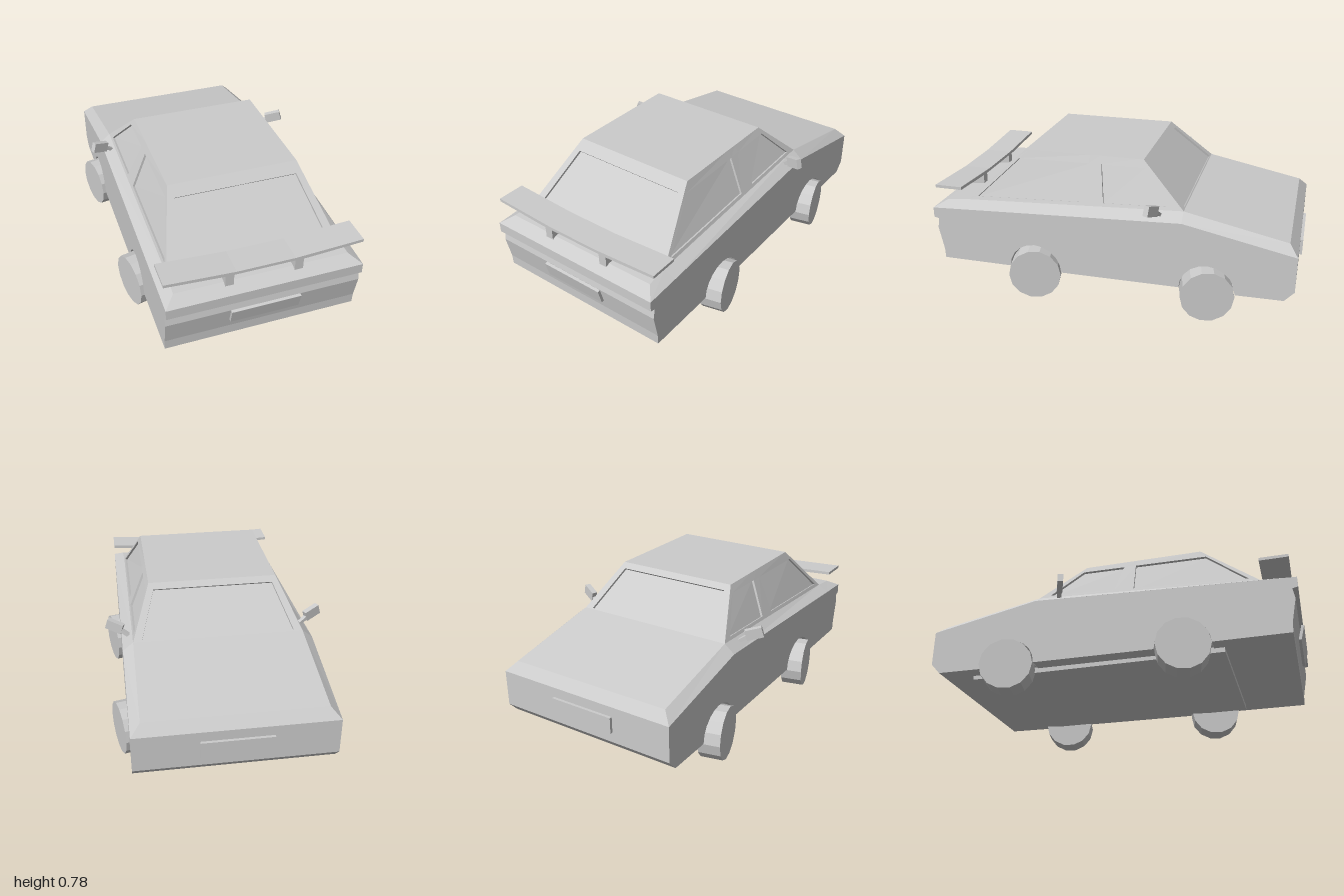
import * as THREE from 'three';

const W = 0.505; // half width of the body

export function createModel() {
  const car = new THREE.Group();
  car.name = 'car';
  const mat = new THREE.MeshStandardMaterial({ color: 0xcccccc, flatShading: true });
  const sheet = new THREE.MeshStandardMaterial({ color: 0xcccccc, flatShading: true, side: THREE.DoubleSide });
  const V = (x, y, z) => new THREE.Vector3(x, y, z);
  const flip = (p) => V(-p.x, p.y, p.z);

  function add(name, geo, x = 0, y = 0, z = 0, material = mat) {
    const mesh = new THREE.Mesh(geo, material);
    mesh.name = name;
    mesh.position.set(x, y, z);
    car.add(mesh);
    return mesh;
  }

  // Sheet surface made of four-cornered faces, counter-clockwise from outside
  function addFaces(name, quads) {
    const pos = [];
    for (const [a, b, c, d] of quads)
      for (const p of [a, b, c, a, c, d]) pos.push(p.x, p.y, p.z);
    const geo = new THREE.BufferGeometry();
    geo.setAttribute('position', new THREE.Float32BufferAttribute(pos, 3));
    geo.computeVertexNormals();
    return add(name, geo, 0, 0, 0, sheet);
  }

  // Cabin panel with recessed windows; odd cells along us, middle cell of vs
  function windowPanel(name, [bl, br, tr, tl], us, vs) {
    const at = (u, v) => bl.clone().lerp(br, u).lerp(tl.clone().lerp(tr, u), v);
    const inward = br.clone().sub(bl).cross(tl.clone().sub(bl)).normalize().multiplyScalar(-0.012);
    const frame = [], panes = [];
    for (let i = 0; i < us.length - 1; i++) {
      for (let j = 0; j < vs.length - 1; j++) {
        const q = [at(us[i], vs[j]), at(us[i + 1], vs[j]), at(us[i + 1], vs[j + 1]), at(us[i], vs[j + 1])];
        if (i % 2 === 0 || j !== 1) { frame.push(q); continue; }
        const deep = q.map((p) => p.clone().add(inward));
        panes.push(deep);
        for (let k = 0; k < 4; k++) {
          const n = (k + 1) % 4;
          frame.push([q[k], q[n], deep[n], deep[k]]);
        }
      }
    }
    addFaces(name + 'Frame', frame);
    addFaces(name + 'Glass', panes);
  }

  // Lower body: side profile with wheel arches, extruded across the width
  const axles = [0.4, -0.54];
  const side = new THREE.Shape();
  side.moveTo(0.94, 0.15);
  for (const z of axles) {
    side.lineTo(z + 0.147, 0.15);
    side.absarc(z, 0.146, 0.147, 0, Math.PI, false);
  }
  for (const [z, y] of [[-0.935, 0.15], [-0.985, 0.205], [-0.985, 0.397], [-0.4, 0.515],
    [0.985, 0.45], [0.985, 0.395], [0.957, 0.388], [0.967, 0.333], [0.942, 0.205]]) side.lineTo(z, y);
  const lower = new THREE.ExtrudeGeometry(side, { depth: 2 * W, bevelEnabled: false, curveSegments: 5 });
  lower.rotateY(-Math.PI / 2).translate(W, 0, 0);
  add('lowerBody', lower);

  // Shoulder, belt and roof corners of the +x side, from tail to nose
  const S = [V(W, 0.45, 0.985), V(W, 0.459, 0.8), V(W, 0.515, -0.4), V(W, 0.397, -0.985)];
  const B = [V(0.45, 0.485, 0.92), V(0.445, 0.495, 0.8), V(0.45, 0.56, -0.4), V(0.455, 0.45, -0.94)];
  const R = [V(0.345, 0.78, 0.487), V(0.345, 0.78, -0.165)];

  const shoulders = [];
  for (let i = 0; i < 3; i++) {
    const q = [S[i], S[i + 1], B[i + 1], B[i]];
    shoulders.push(q, q.map(flip).reverse());
  }
  addFaces('shoulders', shoulders);

  // Band across the car between two corners and their mirror images
  const tailward = (lo, hi) => [flip(lo), lo, hi, flip(hi)];
  const noseward = (lo, hi) => [lo, flip(lo), flip(hi), hi];
  addFaces('hood', [noseward(B[3], B[2]), noseward(S[3], B[3])]);
  addFaces('trunkLid', [tailward(B[0], B[1]), tailward(S[0], B[0])]);
  addFaces('roof', [tailward(R[0], R[1])]);

  // Cabin walls with windows
  const sideU = [0, 0.03, 0.555, 0.645, 0.96, 1], sideV = [0, 0.07, 0.83, 1];
  const cabin = [B[1], B[2], R[1], R[0]];
  windowPanel('leftSide', cabin, sideU, sideV);
  windowPanel('rightSide', [1, 0, 3, 2].map((i) => flip(cabin[i])), sideU.map((u) => 1 - u).reverse(), sideV);
  windowPanel('rearWindow', tailward(B[1], R[0]), [0, 0.05, 0.95, 1], [0, 0.04, 0.84, 1]);
  windowPanel('windshield', noseward(B[2], R[1]), [0, 0.05, 0.95, 1], [0, 0.02, 0.88, 1]);

  // Floor pan
  add('floorPan', new THREE.BoxGeometry(0.85, 0.03, 1.37), 0, 0.14, -0.085);

  // Wheels
  const wheel = new THREE.CylinderGeometry(0.14, 0.14, 0.118, 14);
  wheel.rotateX(Math.PI / 14).rotateZ(Math.PI / 2);
  for (const z of axles) for (const s of [1, -1]) add('wheel', wheel, s * 0.495, 0.14, z);

  // Door mirrors with slanted arms
  for (const s of [1, -1]) {
    const housing = add('mirror', new THREE.BoxGeometry(0.09, 0.055, 0.03), s * 0.537, 0.582, -0.25);
    housing.rotation.set(0, s * -0.4, s * 0.3);
    const arm = add('mirrorArm', new THREE.BoxGeometry(0.1, 0.018, 0.022), s * 0.475, 0.542, -0.275);
    arm.rotation.set(0, s * -0.3, s * 0.6);
  }

  // Rear wing with raised tips, on two posts
  const wing = new THREE.Shape([[-W, 0.572], [-0.2, 0.552], [0.2, 0.552], [W, 0.572],
    [W, 0.588], [0.15, 0.568], [-0.15, 0.568], [-W, 0.588]].map(([x, y]) => new THREE.Vector2(x, y)));
  add('rearWing', new THREE.ExtrudeGeometry(wing, { depth: 0.15, bevelEnabled: false }), 0, 0, 0.806);
  for (const s of [1, -1]) add('wingPost', new THREE.BoxGeometry(0.044, 0.085, 0.12), s * 0.178, 0.512, 0.88);

  // Blank number plates
  const plate = new THREE.BoxGeometry(0.36, 0.085, 0.015);
  add('frontPlate', plate, 0, 0.302, -0.9925);
  add('rearPlate', plate, 0, 0.302, 0.974).rotation.x = 0.25;

  return car;
}
